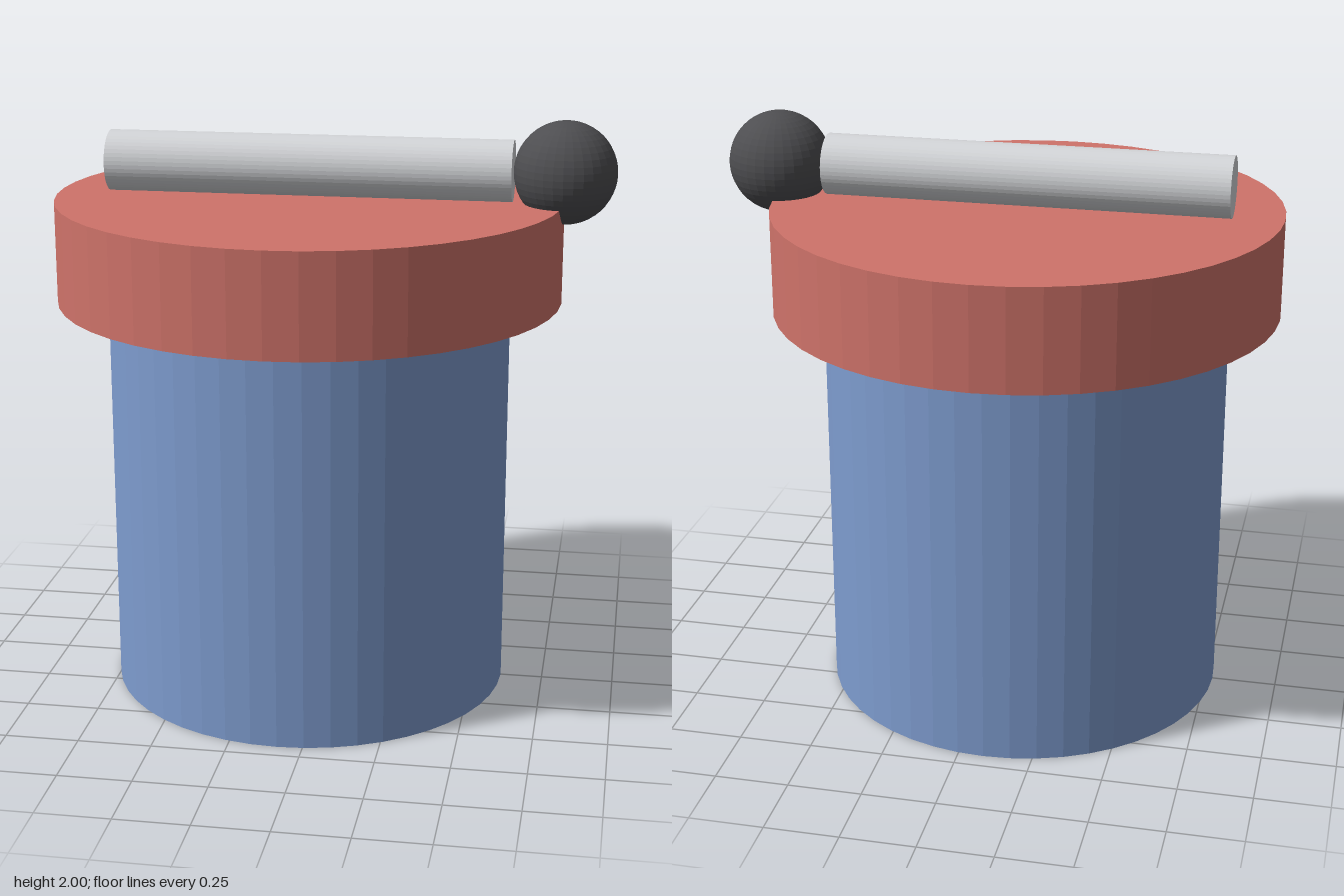
import * as THREE from 'three';

const U = 2 / 11.6; // one design unit; the model is 11.6 units tall

function material(name, color) {
  const m = new THREE.MeshStandardMaterial({ color, flatShading: true });
  m.name = name;
  return m;
}

export function createModel() {
  const group = new THREE.Group();
  group.name = 'lidded canister';

  const blue = material('blue', 0x7e9ccf);
  const red = material('red', 0xcf736a);
  const lightGrey = material('light grey', 0xd3d5d8);
  const darkGrey = material('dark grey', 0x4e4e51);

  const add = (name, geometry, mat, x, y) => {
    const mesh = new THREE.Mesh(geometry, mat);
    mesh.name = name;
    mesh.position.set((x - 0.5) * U, y * U, 0);
    group.add(mesh);
    return mesh;
  };
  const cylinder = (r, h) => new THREE.CylinderGeometry(r * U, r * U, h * U, 48);

  // Container and overhanging lid
  add('body', cylinder(4, 8), blue, 0, 4);
  add('lid', cylinder(5, 2), red, 0, 9);

  // Handle bar lying across the lid, with a ball on its left end
  add('handleBar', cylinder(0.6, 8), lightGrey, 0, 10.6).rotation.z = Math.PI / 2;
  add('handleKnob', new THREE.SphereGeometry(U, 32, 24), darkGrey, 5, 10.6);

  return group;
}
